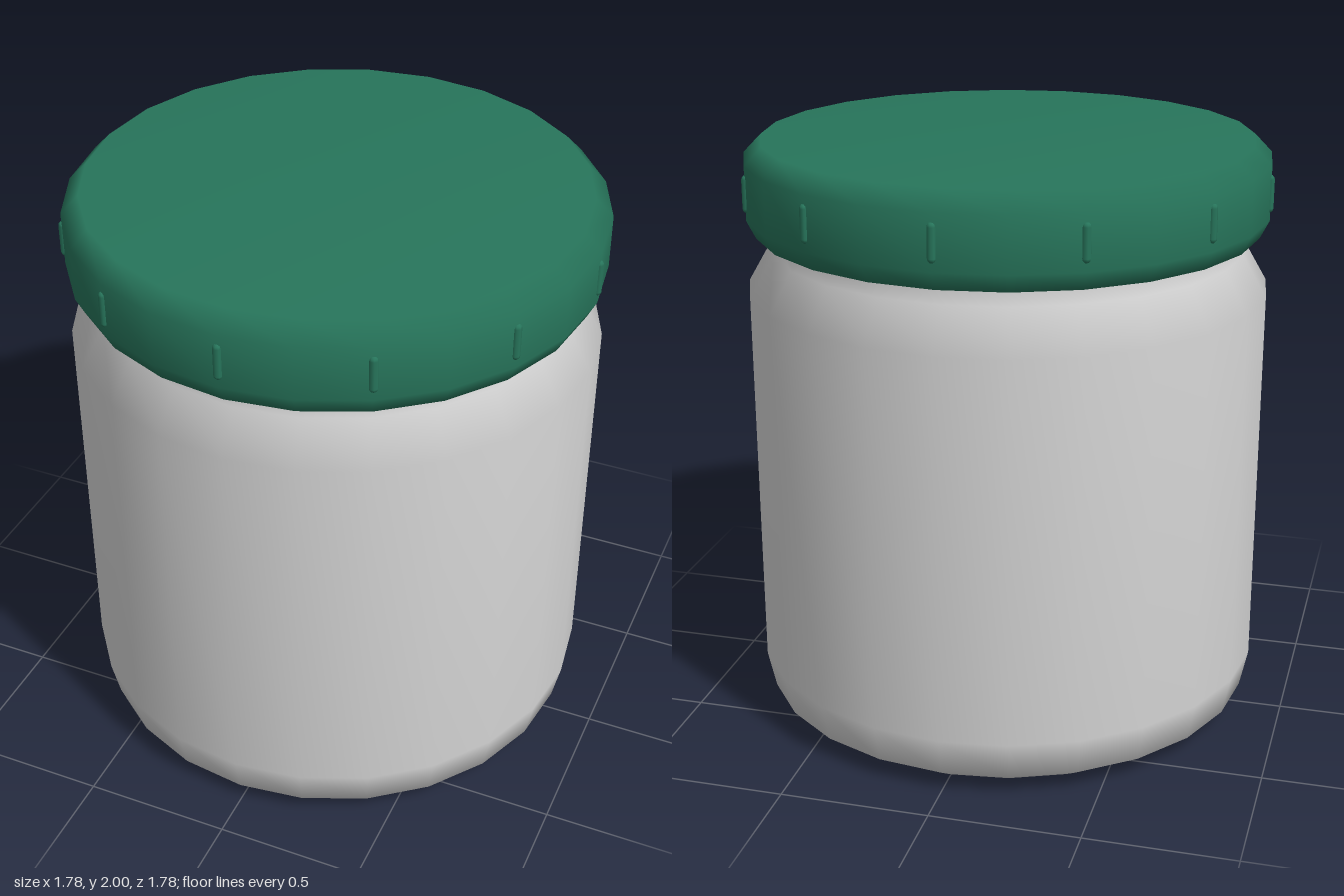
import * as THREE from 'three';

const SIDES = 24;

const grey = new THREE.MeshStandardMaterial({ name: 'jarGrey', color: 0xd4d4d4 });
const green = new THREE.MeshStandardMaterial({ name: 'lidGreen', color: 0x27755b });

// Smooth revolved part from a bottom-to-top [radius, height] profile
function revolve(name, material, profile) {
  const points = profile.map(([r, y]) => new THREE.Vector2(r, y));
  const mesh = new THREE.Mesh(new THREE.LatheGeometry(points, SIDES), material);
  mesh.name = name;
  return mesh;
}

export function createModel() {
  const model = new THREE.Group();
  model.name = 'jar';

  // Jar with chamfered base, sloped shoulder and narrow neck
  model.add(revolve('jarBody', grey, [
    [0, 0], [0.74, 0], [0.85, 0.07], [0.878, 0.2],
    [0.878, 1.5], [0.797, 1.64], [0.797, 1.72],
  ]));

  // Screw lid with bevelled rims
  const lid = new THREE.Group();
  lid.name = 'lid';
  lid.add(revolve('lidCap', green, [
    [0.77, 1.7], [0.848, 1.7], [0.878, 1.76],
    [0.878, 1.94], [0.82, 2], [0, 2],
  ]));

  // Grip ribs around the lid
  const ribGeometry = new THREE.CapsuleGeometry(0.015, 0.095, 3, 8);
  for (let i = 0; i < 12; i++) {
    const a = (i / 12) * Math.PI * 2;
    const rib = new THREE.Mesh(ribGeometry, green);
    rib.name = 'gripRib';
    rib.position.set(Math.sin(a) * 0.873, 1.85, Math.cos(a) * 0.873);
    rib.rotation.y = a;
    lid.add(rib);
  }
  model.add(lid);

  return model;
}
